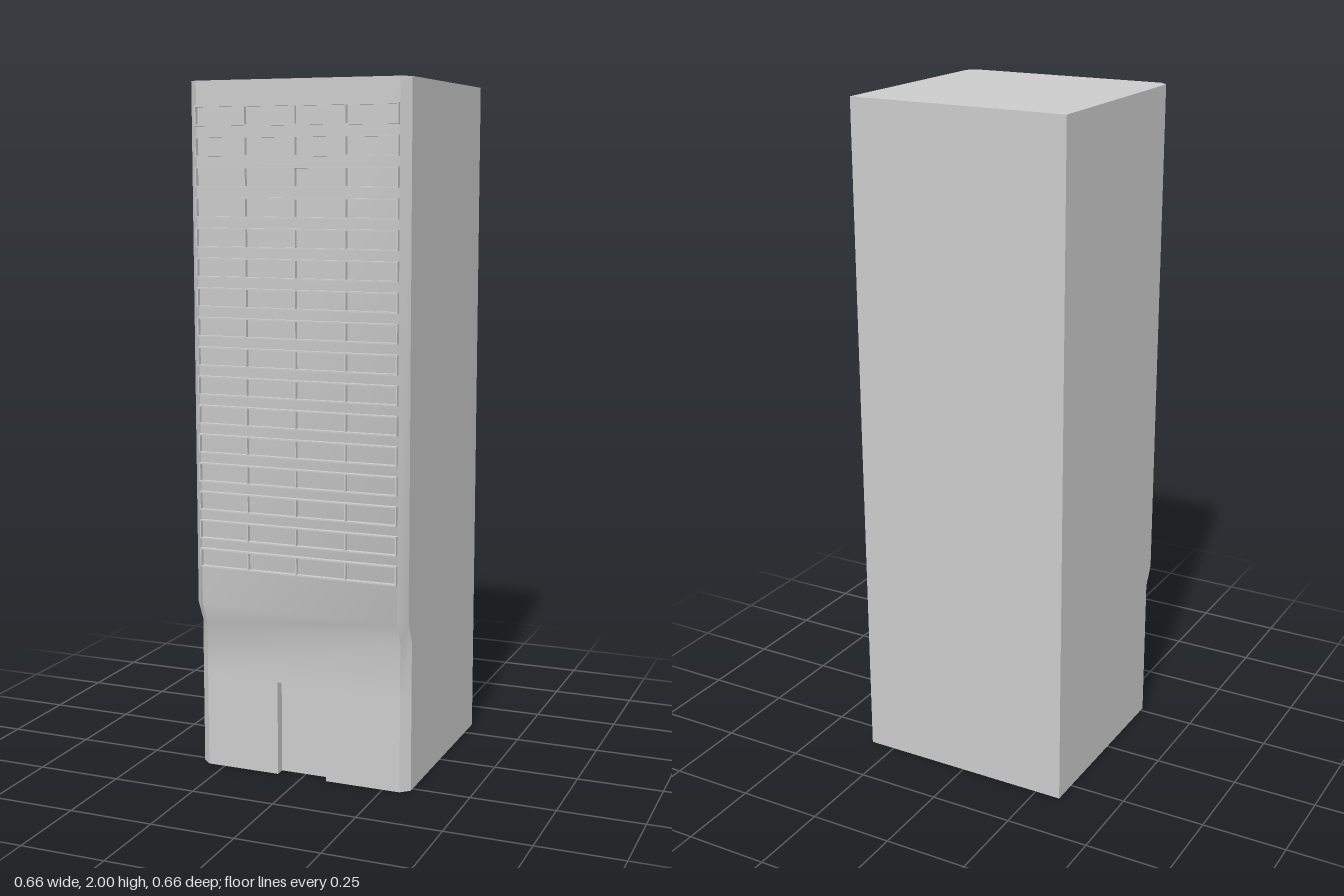
import * as THREE from 'three';
import { toCreasedNormals } from 'three/addons/utils/BufferGeometryUtils.js';

const material = new THREE.MeshStandardMaterial({ color: 0xcccccc, side: THREE.DoubleSide });

// Collects quads and triangles into one geometry with creased normals
function faceBuilder() {
  const pos = [];
  const tri = (a, b, c) => pos.push(...a, ...b, ...c);
  const quad = (a, b, c, d) => { tri(a, b, c); tri(a, c, d); };
  const build = () => {
    const g = new THREE.BufferGeometry();
    g.setAttribute('position', new THREE.Float32BufferAttribute(pos, 3));
    return toCreasedNormals(g, 0.6);
  };
  return { tri, quad, build };
}

function addMesh(parent, name, geometry) {
  const mesh = new THREE.Mesh(geometry, material);
  mesh.name = name;
  parent.add(mesh);
  return mesh;
}

const HALF = 0.328, FACE = 0.302, BACK = -0.329, CHAMFER = 0.024;
const DOOR = { x0: -0.077, x1: 0.075, top: 0.28, depth: 0.03 };
const LOWER_Z = 0.289, UPPER_Z = 0.317;

// Plan outline with chamfered front corners
const ring = (y, zf) => [
  [-HALF, y, zf - CHAMFER], [-FACE, y, zf], [FACE, y, zf], [HALF, y, zf - CHAMFER],
  [HALF, y, BACK], [-HALF, y, BACK],
];

// Hollow tower shell, open below, with a doorway in the lowest front panel
function towerGeometry() {
  const { tri, quad, build } = faceBuilder();
  const rings = [[0, LOWER_Z], [DOOR.top, LOWER_Z], [0.44, LOWER_Z], [0.5, UPPER_Z], [2, UPPER_Z]]
    .map(([y, z]) => ring(y, z));
  for (let k = 0; k < rings.length - 1; k++) {
    const lo = rings[k], hi = rings[k + 1];
    for (let i = 0; i < 6; i++) {
      const j = (i + 1) % 6;
      if (k === 0 && i === 1) {
        const at = (x, y) => [x, y, LOWER_Z];
        quad(lo[1], at(DOOR.x0, 0), at(DOOR.x0, DOOR.top), hi[1]);
        quad(at(DOOR.x1, 0), lo[2], hi[2], at(DOOR.x1, DOOR.top));
      } else quad(lo[i], lo[j], hi[j], hi[i]);
    }
  }
  const roof = rings[rings.length - 1];
  for (let i = 1; i < 5; i++) tri(roof[0], roof[i], roof[i + 1]);
  return build();
}

// Recessed door with its reveals
function doorGeometry() {
  const { quad, build } = faceBuilder();
  const { x0, x1, top, depth } = DOOR;
  const f = LOWER_Z, b = LOWER_Z - depth;
  quad([x0, 0, b], [x1, 0, b], [x1, top, b], [x0, top, b]);
  quad([x0, 0, f], [x0, 0, b], [x0, top, b], [x0, top, f]);
  quad([x1, 0, b], [x1, 0, f], [x1, top, f], [x1, top, b]);
  quad([x0, top, b], [x1, top, b], [x1, top, f], [x0, top, f]);
  return build();
}

function rectangle(target, x0, y0, x1, y1) {
  target.moveTo(x0, y0);
  target.lineTo(x1, y0);
  target.lineTo(x1, y1);
  target.lineTo(x0, y1);
  target.closePath();
  return target;
}

// One window band: a thin projecting frame divided into four cells
function windowBandGeometry() {
  const height = 0.056, cells = 4, rim = 0.004, x0 = -0.302, width = 0.604;
  const shape = rectangle(new THREE.Shape(), x0, 0, x0 + width, height);
  const pitch = (width - rim) / cells;
  for (let i = 0; i < cells; i++) {
    const left = x0 + rim + i * pitch;
    shape.holes.push(rectangle(new THREE.Path(), left, rim, left + pitch - rim, height - rim));
  }
  return new THREE.ExtrudeGeometry(shape, { depth: 0.013, bevelEnabled: false });
}

export function createModel() {
  const model = new THREE.Group();
  model.name = 'towerBlock';
  addMesh(model, 'towerShell', towerGeometry());
  addMesh(model, 'door', doorGeometry());

  // Sixteen floors of window bands up the front
  const bands = new THREE.Group();
  bands.name = 'windowBands';
  const band = windowBandGeometry();
  for (let floor = 0; floor < 16; floor++) {
    addMesh(bands, 'windowBand', band).position.set(0, 0.615 + floor * 0.084, UPPER_Z);
  }
  model.add(bands);
  return model;
}
